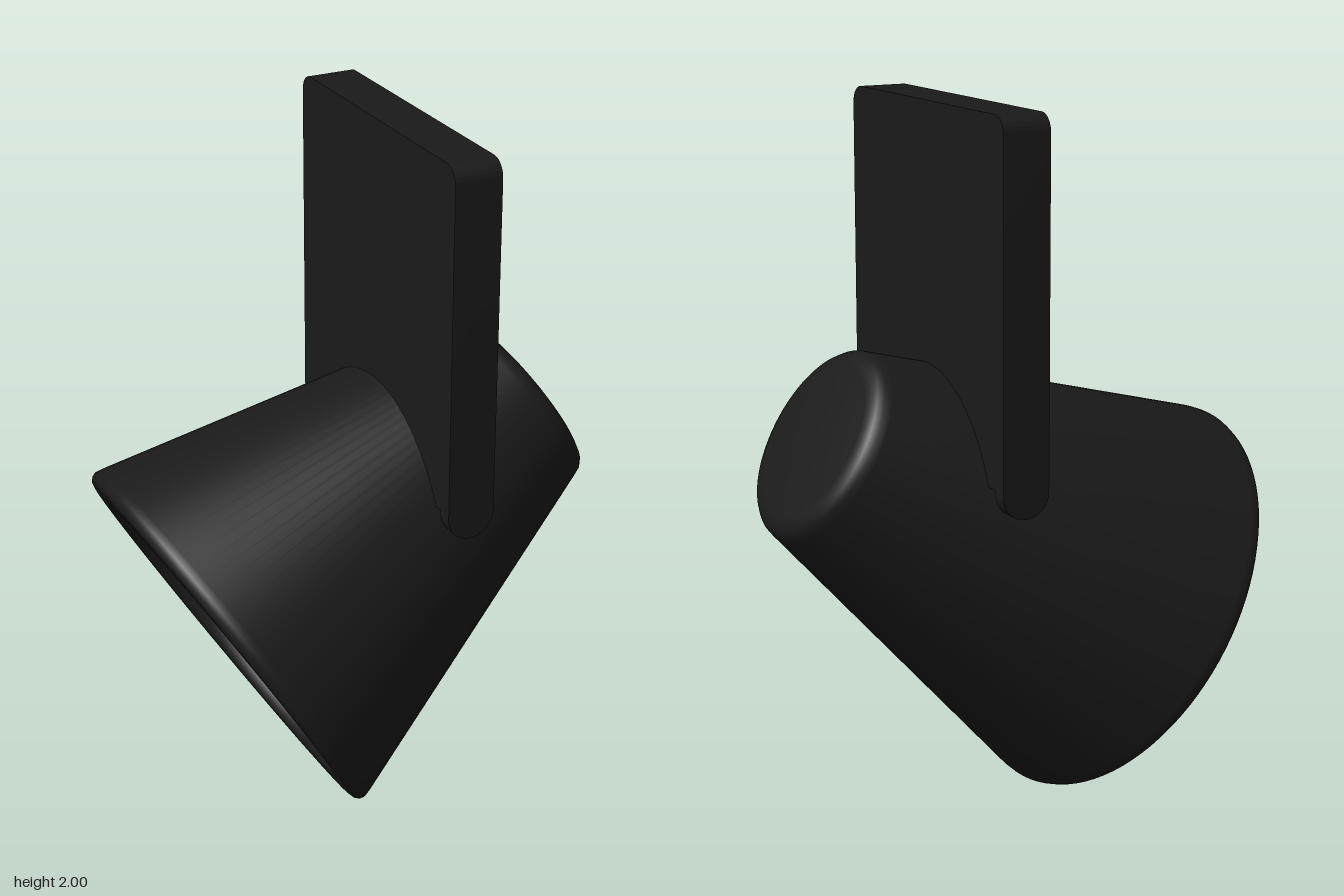
import * as THREE from 'three';
import { toCreasedNormals } from 'three/addons/utils/BufferGeometryUtils.js';

const black = new THREE.MeshStandardMaterial({ color: 0x1a1a1a });
const red = new THREE.MeshStandardMaterial({ color: 0xcc1100 });
const grey = new THREE.MeshStandardMaterial({ color: 0xcccccc });

const PLATE_X = 0.155, HALF_T = 0.07, HALF_W = 0.445, ARM = 0.045;

function addMesh(parent, name, geometry, material) {
  const mesh = new THREE.Mesh(geometry, material);
  mesh.name = name;
  parent.add(mesh);
  return mesh;
}

export function createModel() {
  const model = new THREE.Group();
  model.name = 'spotlight';

  // Tilted lamp head: its local y runs from the wide open end to the narrow back
  const head = new THREE.Group();
  head.name = 'lampHead';
  head.position.set(-0.395, 0.51, 0);
  head.rotation.z = -1.028;
  model.add(head);

  // Housing profile: cavity floor, cavity wall, rounded rim, cone, rounded back
  const profile = [
    [0, 0.19], [0.435, 0.19], [0.485, 0.02], [0.49, 0.005], [0.5, -0.005],
    [0.51, -0.008], [0.57, -0.008], [0.587, -0.004], [0.598, 0.006], [0.602, 0.02], [0.598, 0.04],
    [0.287, 1.085], [0.28, 1.105], [0.266, 1.12], [0.245, 1.128], [0.225, 1.13], [0, 1.13],
  ].map(([r, y]) => new THREE.Vector2(r, y));
  addMesh(head, 'housing', toCreasedNormals(new THREE.LatheGeometry(profile, 96), 0.7), black);

  // Coloured lens set back inside the opening
  const lens = addMesh(head, 'lens', new THREE.CylinderGeometry(0.43, 0.43, 0.01, 64), red);
  lens.position.y = 0.187;

  // Mounting plate with rounded top corners, drawn in z and y
  const r = 0.05;
  const s = new THREE.Shape();
  s.moveTo(-HALF_W, 1);
  s.lineTo(HALF_W, 1);
  s.lineTo(HALF_W, 2 - r);
  s.absarc(HALF_W - r, 2 - r, r, 0, Math.PI / 2, false);
  s.absarc(-HALF_W + r, 2 - r, r, Math.PI / 2, Math.PI, false);
  s.closePath();
  const plateGeo = new THREE.ExtrudeGeometry(s, { depth: 2 * HALF_T, bevelEnabled: false, curveSegments: 10 });
  plateGeo.translate(0, 0, -HALF_T);
  plateGeo.rotateY(Math.PI / 2);
  addMesh(model, 'mountingPlate', toCreasedNormals(plateGeo, 0.6), black).position.x = PLATE_X;

  // Short fork arms with round ends, one on each side of the head
  const a = new THREE.Shape();
  a.moveTo(HALF_T, 1);
  a.lineTo(-HALF_T, 1);
  a.lineTo(-HALF_T, 0.99);
  a.absarc(0, 0.99, HALF_T, Math.PI, 2 * Math.PI, false);
  a.closePath();
  const armGeo = toCreasedNormals(
    new THREE.ExtrudeGeometry(a, { depth: ARM, bevelEnabled: false, curveSegments: 20 }), 0.6);
  for (const [name, z] of [['frontArm', HALF_W - ARM], ['backArm', -HALF_W]]) {
    addMesh(model, name, armGeo, black).position.set(PLATE_X, 0, z);
  }

  // Pivot pin between the arms
  const pin = addMesh(model, 'pivotPin', new THREE.CylinderGeometry(0.03, 0.03, 0.82, 24), grey);
  pin.rotation.x = Math.PI / 2;
  pin.position.set(PLATE_X, 0.97, 0);

  return model;
}
